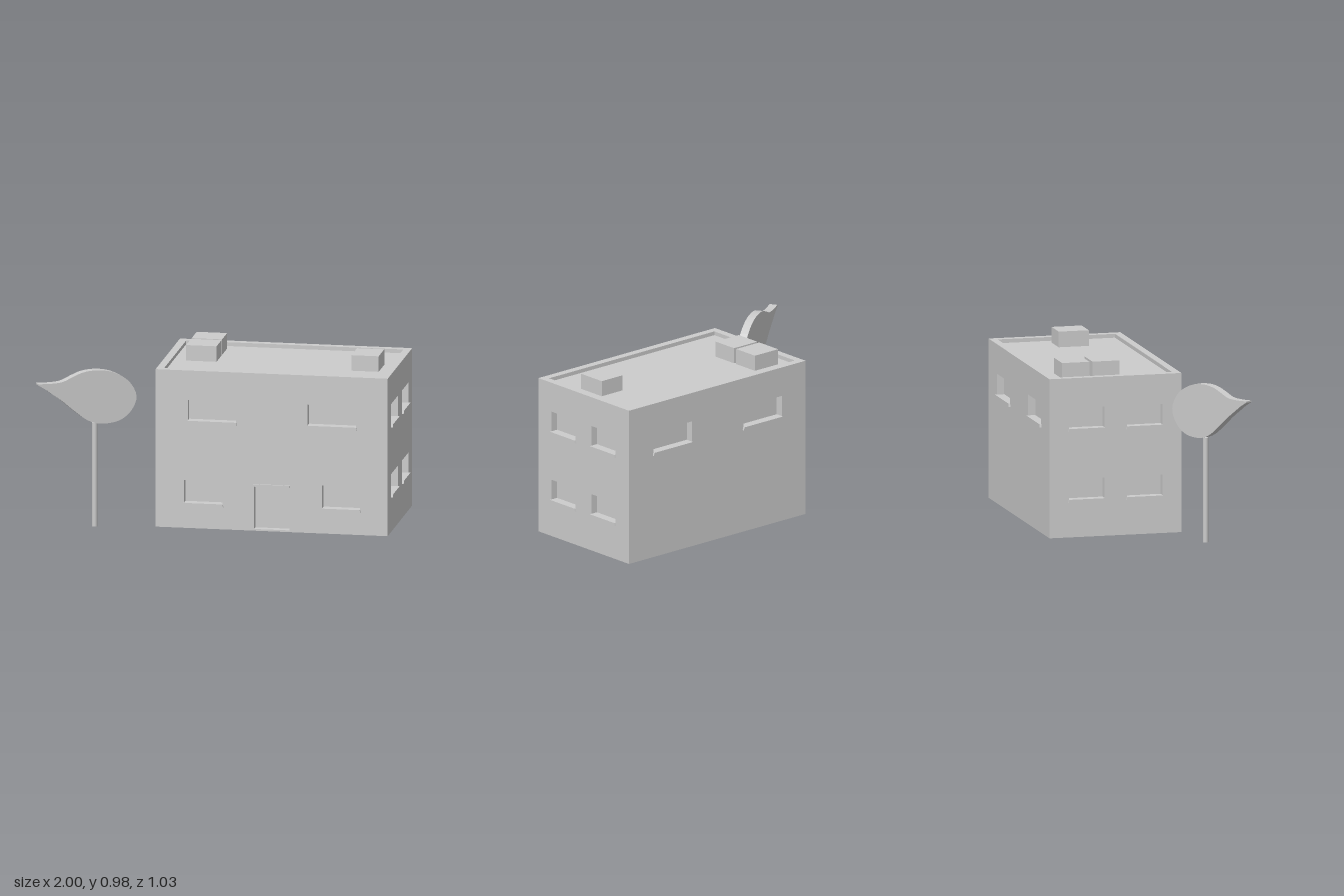
import * as THREE from 'three';

const material = new THREE.MeshStandardMaterial({ color: 0xcccccc, flatShading: true });
const smooth = new THREE.MeshStandardMaterial({ color: 0xcccccc });

// House extents: centre, width, depth, height, wall thickness
const CX = 0.3175, CZ = -0.1185, W = 1.335, D = 0.773, H = 0.915, T = 0.043;
const ROOF = 0.893;

function add(parent, name, geometry, x = 0, y = 0, z = 0, mat = material) {
  const mesh = new THREE.Mesh(geometry, mat);
  mesh.name = name;
  mesh.position.set(x, y, z);
  parent.add(mesh);
  return mesh;
}

// Box given by its minimum and maximum corners
function block(parent, name, [x0, y0, z0], [x1, y1, z1]) {
  return add(parent, name, new THREE.BoxGeometry(x1 - x0, y1 - y0, z1 - z0),
    (x0 + x1) / 2, (y0 + y1) / 2, (z0 + z1) / 2);
}

function polygon(points) {
  return new THREE.Shape(points.map(([x, y]) => new THREE.Vector2(x, y)));
}

function extrude(shape, depth) {
  return new THREE.ExtrudeGeometry(shape, { depth, bevelEnabled: false });
}

// Wall in its own frame: outer face at z = 0, openings [centre, width, bottom, top, hasSill]
function wall(name, width, openings) {
  const group = new THREE.Group();
  group.name = name;
  const w = width / 2;
  const shape = polygon([[-w, 0], [w, 0], [w, H], [-w, H]]);
  for (const [c, ow, y0, y1, hasSill] of openings) {
    const a = c - ow / 2, b = c + ow / 2;
    shape.holes.push(polygon([[a, y0], [a, y1], [b, y1], [b, y0]]));
    if (hasSill) {
      const sill = polygon([[a - 0.006, y0 - 0.018], [b + 0.006, y0 - 0.018], [b + 0.001, y0], [a - 0.001, y0]]);
      add(group, 'windowSill', extrude(sill, 0.011));
    } else {
      block(group, 'doorLintel', [a - 0.004, y1, 0], [b + 0.004, y1 + 0.013, 0.011]);
    }
  }
  add(group, name + 'Panel', extrude(shape, T), 0, 0, -T);
  return group;
}

function createHouse() {
  const house = new THREE.Group();
  house.name = 'house';

  // Core gives the window panes, the door leaf and the sunken roof deck
  block(house, 'coreAndRoofDeck', [CX - W / 2 + T, 0, CZ - D / 2 + T], [CX + W / 2 - T, ROOF, CZ + D / 2 - T]);

  const front = wall('frontWall', W, [
    [-0.0265 - CX, 0.277, 0.625, 0.745, true],
    [0.6635 - CX, 0.277, 0.625, 0.745, true],
    [-0.076 - CX, 0.22, 0.147, 0.278, true],
    [0.7165 - CX, 0.217, 0.147, 0.278, true],
    [0.3175 - CX, 0.203, 0.01, 0.258, false],
  ]);
  front.position.set(CX, 0, CZ + D / 2);

  const back = wall('backWall', W, [-0.025, 0.655].map(x => [CX - x, 0.29, 0.625, 0.745, true]));
  back.position.set(CX, 0, CZ - D / 2);
  back.rotation.y = Math.PI;
  house.add(front, back);

  // Side walls mirror each other
  for (const side of [1, -1]) {
    const openings = [];
    for (const z of [0.0535, -0.2865])
      for (const y of [0.218, 0.625]) openings.push([-side * (z - CZ), 0.207, y, y + 0.118, true]);
    const sideWall = wall(side > 0 ? 'leftWall' : 'rightWall', D - 2 * T, openings);
    sideWall.position.set(CX + side * W / 2, 0, CZ);
    sideWall.rotation.y = side * Math.PI / 2;
    house.add(sideWall);
  }

  // Roof boxes
  for (const [x0, x1, z0, z1] of [
    [-0.235, -0.06, -0.4, -0.24],
    [-0.235, -0.06, -0.222, -0.065],
    [0.73, 0.887, -0.162, 0.015],
  ]) block(house, 'roofBox', [x0, ROOF, z0], [x1, 0.983, z1]);
  return house;
}

function createSign() {
  const sign = new THREE.Group();
  sign.name = 'sign';
  sign.position.set(-0.735, 0, 0.343);
  sign.rotation.y = Math.PI / 6;

  // Teardrop panel with a sharp tip at its left end
  const outline = [
    [-0.295, 0.848], [-0.25, 0.82], [-0.214, 0.793], [-0.15, 0.745], [-0.084, 0.688], [0, 0.624],
    [0.06, 0.601], [0.12, 0.597], [0.2, 0.612], [0.265, 0.664], [0.294, 0.74], [0.25, 0.83],
    [0.15, 0.892], [0.05, 0.91], [-0.03, 0.903], [-0.09, 0.882], [-0.15, 0.858], [-0.21, 0.853], [-0.295, 0.856],
  ].map(([x, y]) => new THREE.Vector3(x, y, 0));
  const curve = new THREE.CatmullRomCurve3(outline, false, 'centripetal');
  const thickness = 0.046;
  const panel = extrude(polygon(curve.getPoints(72).map(p => [p.x, p.y])), thickness);
  add(sign, 'signPanel', panel, 0, 0, -thickness / 2);

  add(sign, 'signPole', new THREE.CylinderGeometry(0.0155, 0.0155, 0.602, 20), 0.05, 0.301, 0, smooth);
  return sign;
}

export function createModel() {
  const model = new THREE.Group();
  model.name = 'houseWithSign';
  model.add(createHouse(), createSign());
  return model;
}
